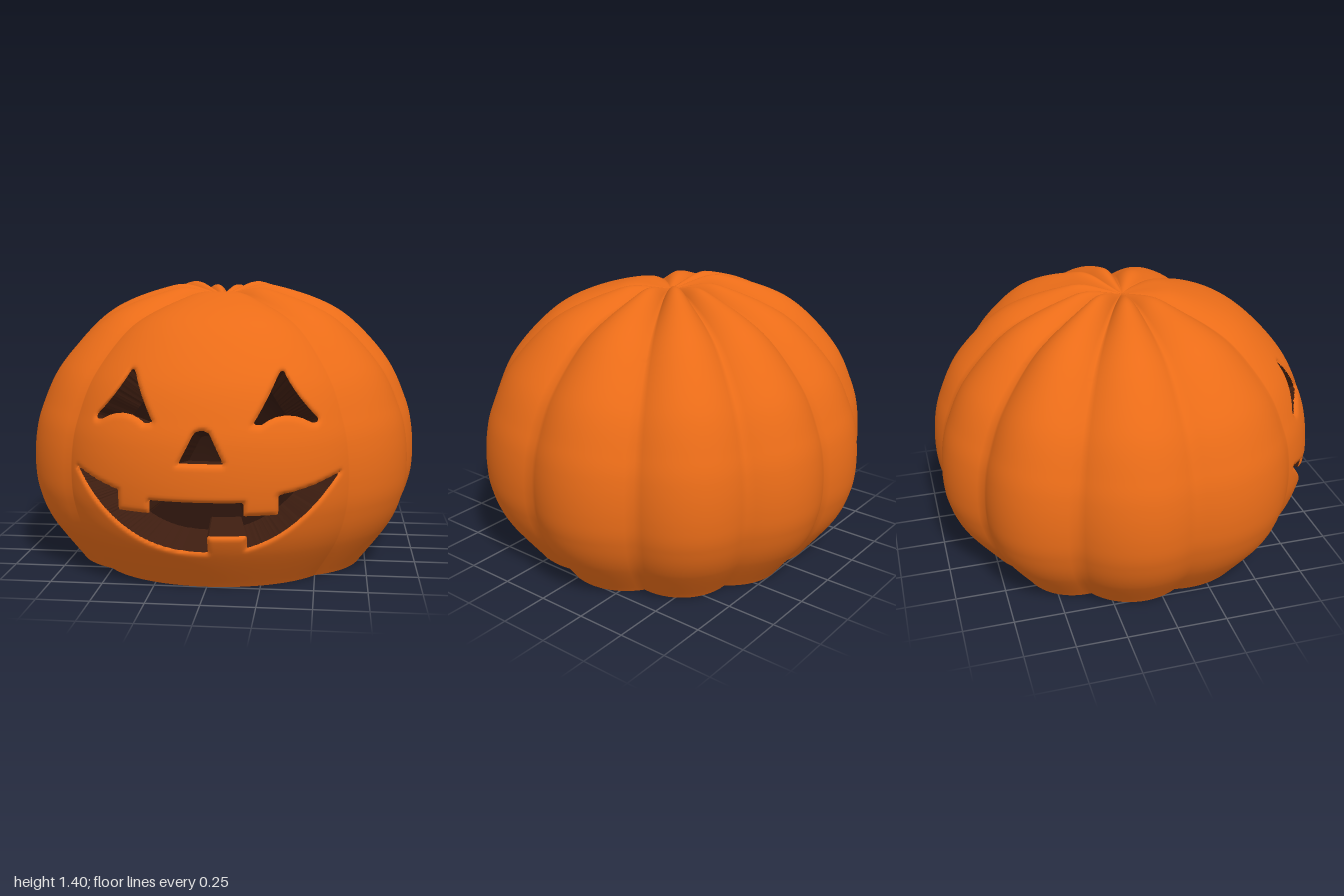
import * as THREE from 'three';

const DEG = Math.PI / 180;
const V = (x, y) => new THREE.Vector2(x, y);

// Vertical profile measured along the grooves, from the base to the crown
const profile = new THREE.SplineCurve([
  V(0.72, 0), V(0.865, 0.2), V(0.928, 0.36), V(0.945, 0.5), V(0.935, 0.65), V(0.9, 0.78),
  V(0.81, 0.965), V(0.635, 1.155), V(0.475, 1.25), V(0.25, 1.32), V(0.1, 1.34), V(0, 1.337),
]);
profile.arcLengthDivisions = 600;

// Lobes: start angle, end angle (from the front), bulge height
const halfLobes = [[44, 84, 0.05], [84, 118, 0.067], [118, 150, 0.08], [150, 180, 0.06]];
const lobes = [[-44, 44, 0.032], ...halfLobes,
  ...halfLobes.map(([a, b, h]) => [360 - b, 360 - a, h]).reverse()];

// Face cut-outs, drawn in the front plane
function eye(side) {
  const s = new THREE.Shape();
  s.moveTo(side * 0.225, 0.8);
  s.quadraticCurveTo(side * 0.285, 0.9, side * 0.325, 1.0);
  s.quadraticCurveTo(side * 0.345, 1.04, side * 0.36, 1.0);
  s.quadraticCurveTo(side * 0.42, 0.9, side * 0.505, 0.815);
  s.quadraticCurveTo(side * 0.52, 0.785, side * 0.48, 0.795);
  s.quadraticCurveTo(side * 0.36, 0.87, side * 0.26, 0.795);
  s.closePath();
  return s.getPoints(6);
}
function mouth() {
  const lip = (x) => 0.208 + 0.352 * Math.pow(Math.abs(x) / 0.61, 2.4);
  const pts = [];
  for (let i = 0; i <= 14; i++) pts.push(V(-0.61 + i * 0.045, lip(-0.61 + i * 0.045)));
  pts.push(V(0.022, lip(0)), V(0.022, 0.295), V(0.2, 0.295)); // lower tooth
  for (let i = 0; i <= 9; i++) pts.push(V(0.2 + i * 0.41 / 9, lip(0.2 + i * 0.41 / 9)));
  pts.push(V(0.5, 0.52), V(0.42, 0.5), V(0.34, 0.485));
  pts.push(V(0.34, 0.395), V(0.188, 0.395), V(0.188, 0.455)); // upper teeth
  pts.push(V(-0.235, 0.455), V(-0.235, 0.395), V(-0.388, 0.395), V(-0.388, 0.488));
  pts.push(V(-0.5, 0.52));
  return pts;
}
const nose = [V(-0.1, 0.63), V(0.1, 0.63), V(0.035, 0.76), V(0.015, 0.772), V(-0.015, 0.772), V(-0.035, 0.76)];
const holes = [eye(1), eye(-1), mouth(), nose];

// Signed distance to the nearest cut-out, negative inside
function holeDistance(x, y) {
  let best = 1;
  let inside = false;
  for (const poly of holes) {
    for (let i = 0, j = poly.length - 1; i < poly.length; j = i++) {
      const a = poly[j], b = poly[i];
      const ex = b.x - a.x, ey = b.y - a.y;
      const t = THREE.MathUtils.clamp(((x - a.x) * ex + (y - a.y) * ey) / (ex * ex + ey * ey || 1), 0, 1);
      best = Math.min(best, Math.hypot(x - a.x - t * ex, y - a.y - t * ey));
      if ((a.y > y) !== (b.y > y) && x < a.x + ((y - a.y) / ey) * ex) inside = !inside;
    }
  }
  return inside ? -best : best;
}

// Point on the ribbed skin
function skin(u, deg, t, h, front) {
  const p = profile.getPointAt(u), tan = profile.getTangentAt(u);
  const bulge = h * (1 - Math.pow(Math.abs(t), front ? 4 : 2)) * THREE.MathUtils.smoothstep(p.x, 0, 0.25);
  const r = Math.max(0, p.x + tan.y * bulge);
  const y = p.y + Math.max(0, -tan.x) * bulge;
  return new THREE.Vector3(r * Math.sin(deg * DEG), y, r * Math.cos(deg * DEG));
}

const inward = (p, k = 0.8) => new THREE.Vector3(p.x * k, 0.5 + (p.y - 0.5) * k, p.z * k);

// Grid over the whole skin, clipped where the face is cut; returns skin, rim segments and base outline
function buildSkin(frontCols, sideCols, rowCounts, offset) {
  const columns = [];
  lobes.forEach(([a, b, h], k) => {
    const n = k === 0 ? frontCols : sideCols;
    for (let i = 0; i < n; i++) columns.push([a + (b - a) * i / n, 2 * i / n - 1, h, k === 0]);
  });
  const rows = [];
  const bounds = [0, 0.08, 0.66, 1];
  rowCounts.forEach((n, k) => {
    for (let i = 0; i < n; i++) rows.push(bounds[k] + (bounds[k + 1] - bounds[k]) * i / n);
  });
  rows.push(1);

  const pts = [], dist = [], index = [], rim = [], cuts = new Map();
  const round = 0.025;
  for (const u of rows) {
    for (const [deg, t, h, front] of columns) {
      const p = skin(u, deg, t, h, front);
      const d = front ? holeDistance(p.x, p.y) : 1;
      // rounded lip around each opening
      const e = Math.max(0, Math.min(round, round - d));
      p.z -= round - Math.sqrt(round * round - e * e);
      pts.push(p);
      dist.push(d + offset);
    }
  }
  const cut = (a, b) => {
    const key = Math.min(a, b) + '_' + Math.max(a, b);
    if (!cuts.has(key)) {
      cuts.set(key, pts.length);
      pts.push(pts[a].clone().lerp(pts[b], dist[a] / (dist[a] - dist[b])));
    }
    return cuts.get(key);
  };
  const triangle = (tri) => {
    const out = [], edge = [];
    for (let i = 0; i < 3; i++) {
      const a = tri[i], b = tri[(i + 1) % 3];
      if (dist[a] > 0) out.push(a);
      if ((dist[a] > 0) !== (dist[b] > 0)) {
        const c = cut(a, b);
        out.push(c);
        edge.push(c);
      }
    }
    for (let i = 2; i < out.length; i++) index.push(out[0], out[i - 1], out[i]);
    if (edge.length === 2) rim.push([pts[edge[0]], pts[edge[1]]]);
  };
  const n = columns.length;
  for (let j = 0; j < rows.length - 1; j++) {
    for (let i = 0; i < n; i++) {
      const a = j * n + i, b = j * n + (i + 1) % n;
      triangle([a, b, b + n]);
      if (j < rows.length - 2) triangle([a, b + n, a + n]);
    }
  }
  return { pts, index, rim, outline: pts.slice(0, n) };
}

function toGeometry(pts, index) {
  const g = new THREE.BufferGeometry().setFromPoints(pts);
  if (index) g.setIndex(index);
  g.computeVertexNormals();
  return g;
}

function floorGeometry(outline, y) {
  const g = new THREE.ShapeGeometry(new THREE.Shape(outline.map((p) => V(p.x, p.z))));
  return g.rotateX(Math.PI / 2).translate(0, y, 0);
}

export function createModel() {
  const group = new THREE.Group();
  const add = (name, geometry, color, side = THREE.FrontSide) => {
    const mesh = new THREE.Mesh(geometry, new THREE.MeshStandardMaterial({ color, side }));
    mesh.name = name;
    group.add(mesh);
  };
  const orange = 0xea6c18, brown = 0x3d1d10, dark = 0x28120a;

  // Ribbed outer skin and flat base
  const outer = buildSkin(140, 14, [8, 100, 26], 0);
  add('pumpkinSkin', toGeometry(outer.pts, outer.index), orange);
  add('base', floorGeometry(outer.outline, 0), orange);

  // Cut walls through the thickness of the face
  const wall = [];
  for (const [a, b] of outer.rim) {
    const c = inward(a), d = inward(b);
    wall.push(a, b, d, a, d, c);
  }
  add('carvedWalls', toGeometry(wall), brown, THREE.DoubleSide);

  // Hollow inside
  const inner = buildSkin(70, 6, [4, 50, 12], 0.006);
  add('hollowInside', toGeometry(inner.pts.map((p) => inward(p)), inner.index), dark, THREE.BackSide);
  add('hollowFloor', floorGeometry(inner.outline.map((p) => inward(p)), 0.1), dark, THREE.DoubleSide);

  return group;
}
